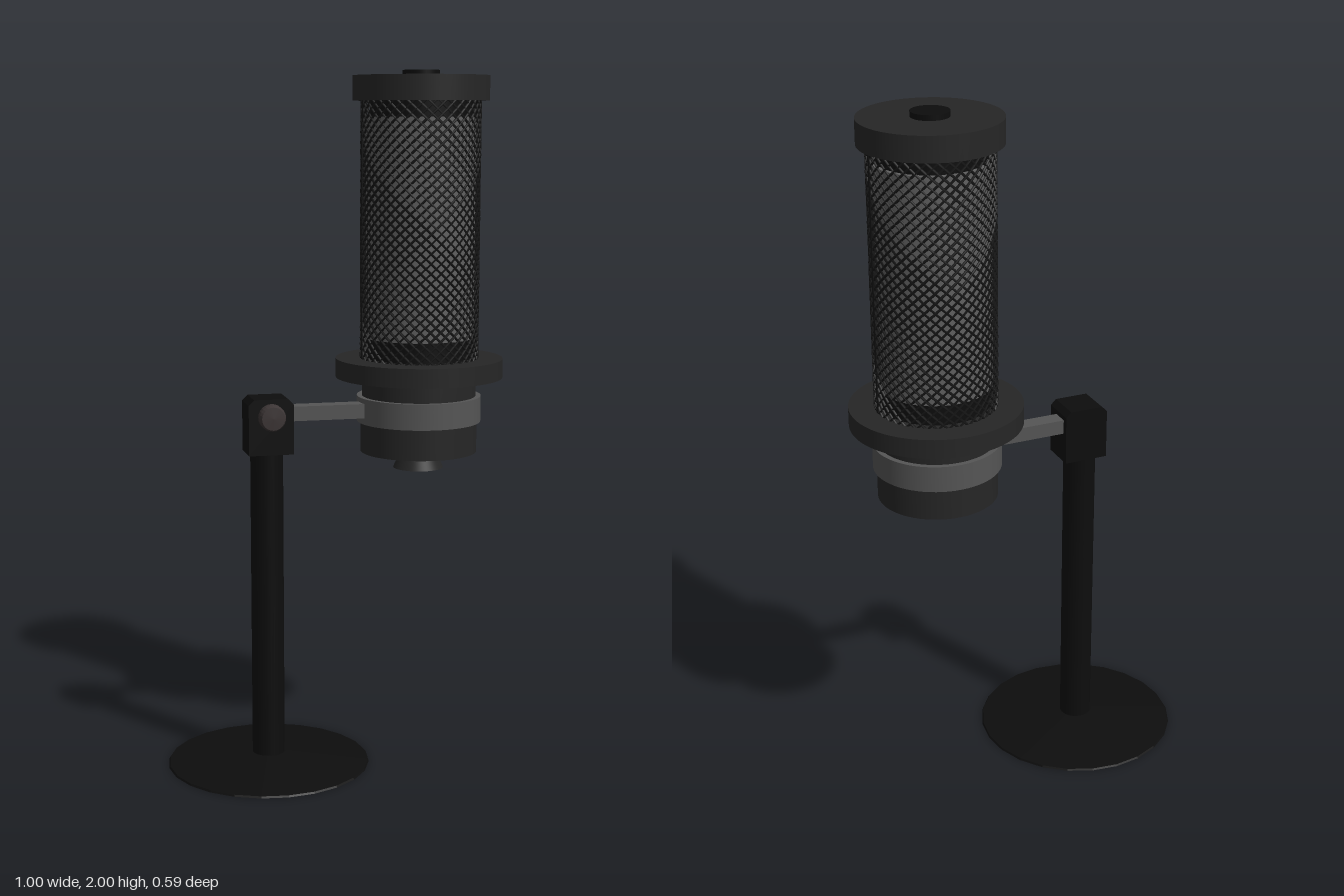
import * as THREE from 'three';
import { mergeGeometries } from 'three/addons/utils/BufferGeometryUtils.js';

const mat = (color, opts = {}) => new THREE.MeshStandardMaterial({ color, ...opts });

function add(parent, name, geometry, material, x = 0, y = 0, z = 0) {
  const mesh = new THREE.Mesh(geometry, material);
  mesh.name = name;
  mesh.position.set(x, y, z);
  parent.add(mesh);
  return mesh;
}

// Upright cylinder between two heights
function disc(parent, name, rBottom, rTop, y0, y1, material, sides = 64) {
  const g = new THREE.CylinderGeometry(rTop, rBottom, y1 - y0, sides);
  return add(parent, name, g, material, 0, (y0 + y1) / 2, 0);
}

// One wire of the grille, winding around the body
class Helix extends THREE.Curve {
  constructor(radius, y0, y1, start, sweep) {
    super();
    Object.assign(this, { radius, y0, y1, start, sweep });
  }
  getPoint(t, target = new THREE.Vector3()) {
    const a = this.start + this.sweep * t;
    return target.set(
      this.radius * Math.cos(a),
      this.y0 + (this.y1 - this.y0) * t,
      this.radius * Math.sin(a));
  }
}

function buildGrille(material) {
  const wires = [];
  const count = 36;
  for (let i = 0; i < count; i++) {
    for (const dir of [-1, 1]) {
      const path = new Helix(0.169, 1.175, 1.92, (i / count) * Math.PI * 2, dir * Math.PI * 1.5);
      wires.push(new THREE.TubeGeometry(path, 48, 0.0036, 4));
    }
  }
  const grille = new THREE.Mesh(mergeGeometries(wires), material);
  grille.name = 'grille';
  return grille;
}

export function createModel() {
  const model = new THREE.Group();
  const black = mat(0x0d0d0d);
  const blackFlat = mat(0x0d0d0d, { flatShading: true });
  const charcoal = mat(0x262626);
  const metal = mat(0x555555);
  const wire = mat(0x151515);

  // Stand: shallow faceted base, pole, clamp block and knob
  const stand = new THREE.Group();
  stand.name = 'stand';
  stand.position.x = -0.205;
  model.add(stand);
  disc(stand, 'baseRim', 0.295, 0.292, 0, 0.005, blackFlat, 24);
  disc(stand, 'baseCone', 0.292, 0.05, 0.005, 0.03, blackFlat, 24);
  disc(stand, 'pole', 0.047, 0.047, 0.02, 0.94, black, 32);

  const w = 0.065, c = 0.016;
  const outline = new THREE.Shape([
    [-w, 0], [w, 0], [w, 0.16 - c], [w - c, 0.16], [-w + c, 0.16], [-w, 0.16 - c],
  ].map(([x, y]) => new THREE.Vector2(x, y)));
  const block = new THREE.ExtrudeGeometry(outline, { depth: 0.105, bevelEnabled: false });
  add(stand, 'clampBlock', block, blackFlat, 0.005, 0.925, -0.055);

  const knobProfile = [[0, 0], [0.038, 0], [0.038, 0.022], [0.033, 0.034], [0, 0.036]]
    .map(([r, y]) => new THREE.Vector2(r, y));
  const knob = add(stand, 'knob', new THREE.LatheGeometry(knobProfile, 24),
    mat(0x3c3535, { flatShading: true }), 0.005, 1.035, 0.049);
  knob.rotation.x = Math.PI / 2;

  // Arm from the clamp to the collar
  add(model, 'arm', new THREE.BoxGeometry(0.25, 0.042, 0.05), metal, -0.015, 1.035, -0.013);

  // Microphone body, from the bottom up
  const mic = new THREE.Group();
  mic.name = 'microphone';
  mic.position.set(0.255, 0, -0.035);
  model.add(mic);
  disc(mic, 'bottomPlug', 0.073, 0.05, 0.855, 0.91, charcoal);
  disc(mic, 'lowerBody', 0.17, 0.17, 0.905, 0.997, charcoal);
  disc(mic, 'collar', 0.181, 0.181, 0.995, 1.07, metal);
  disc(mic, 'neck', 0.166, 0.166, 1.065, 1.13, charcoal);
  disc(mic, 'flange', 0.243, 0.243, 1.125, 1.18, charcoal);

  // Core behind the grille, dark at both ends
  disc(mic, 'lowerCore', 0.15, 0.15, 1.175, 1.24, black);
  disc(mic, 'core', 0.158, 0.158, 1.24, 1.87, mat(0x606060));
  disc(mic, 'upperCore', 0.145, 0.145, 1.87, 1.92, black);
  mic.add(buildGrille(wire));
  for (const side of [-1, 1]) {
    add(mic, 'grilleSeam', new THREE.BoxGeometry(0.008, 0.74, 0.012), wire, side * 0.168, 1.547, 0);
  }

  // Top cap with its small raised button
  disc(mic, 'topCap', 0.195, 0.195, 1.915, 1.985, charcoal);
  disc(mic, 'topButton', 0.053, 0.053, 1.984, 2, black, 32);

  return model;
}
